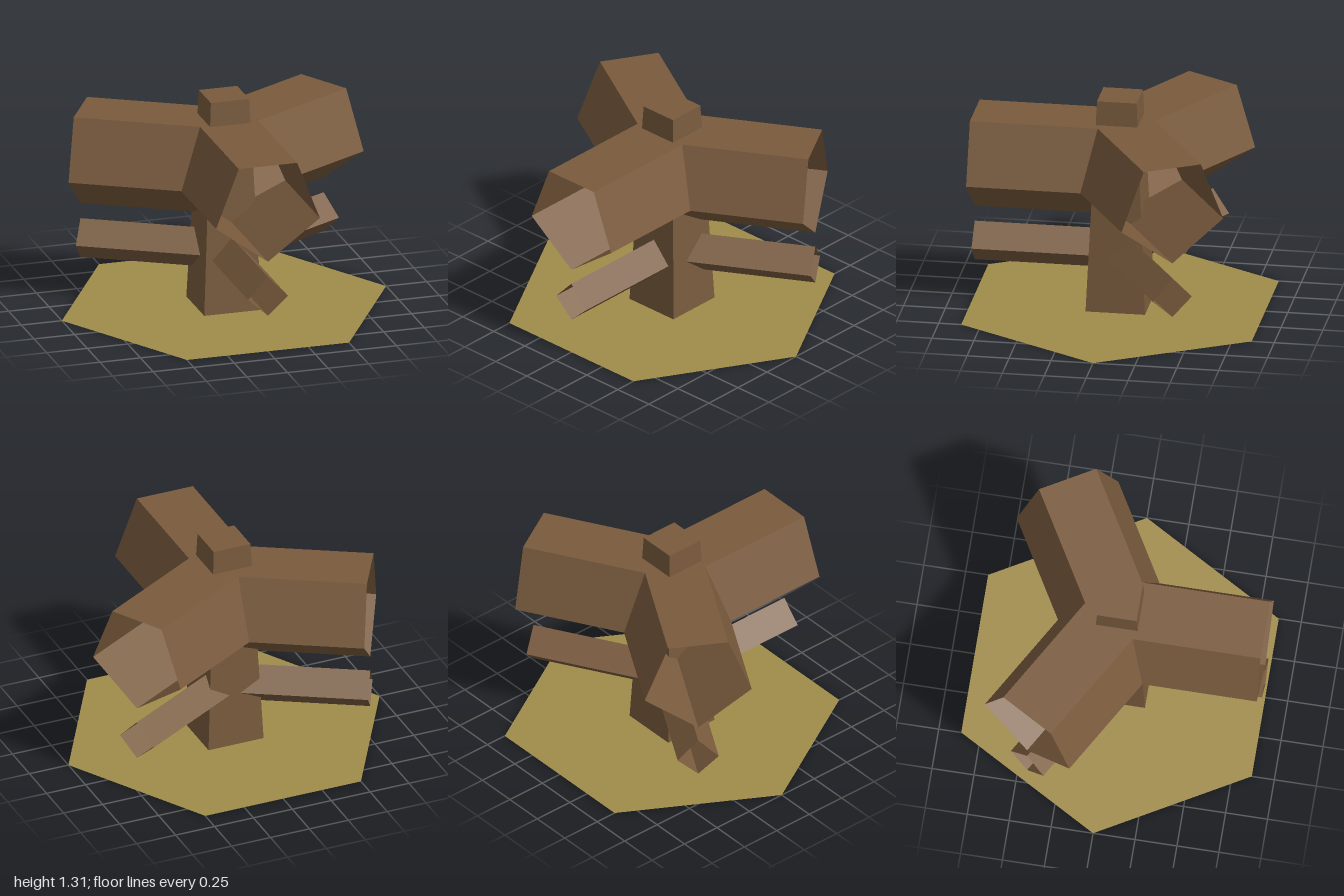
import * as THREE from 'three';

const APOTHEM = Math.sqrt(3) / 2;

// Open-ended prism along +z; its inner end is mitred to meet two more at 120 degrees.
// profile: [x, y] points, counter-clockwise seen from +z.
function mitredArm(profile) {
  const positions = [];
  const near = ([x, y]) => [x, y, Math.abs(x) / Math.sqrt(3)];
  const far = ([x, y]) => [x, y, APOTHEM];
  profile.forEach((a, i) => {
    const b = profile[(i + 1) % profile.length];
    positions.push(...far(a), ...near(a), ...near(b));
    positions.push(...far(a), ...near(b), ...far(b));
  });
  const geometry = new THREE.BufferGeometry();
  geometry.setAttribute('position', new THREE.Float32BufferAttribute(positions, 3));
  geometry.computeVertexNormals();
  return geometry;
}

export function createModel() {
  const model = new THREE.Group();
  const wood = new THREE.MeshStandardMaterial({ color: 0x7a5b3d, side: THREE.DoubleSide });
  wood.name = 'brownWood';
  const grass = new THREE.MeshStandardMaterial({ color: 0xa08c4a, side: THREE.DoubleSide });
  grass.name = 'dryGrass';

  // Flat hexagonal ground tile
  const tile = new THREE.Mesh(new THREE.CircleGeometry(1, 6).rotateX(-Math.PI / 2), grass);
  tile.name = 'groundTile';
  model.add(tile);

  // Square tapering post, its foot just above the tile
  const height = 1.306;
  const postGeometry = new THREE.CylinderGeometry(0.118 * Math.SQRT2, 0.177 * Math.SQRT2, height, 4)
    .rotateY(Math.PI / 4)
    .translate(0, height / 2 + 0.002, 0)
    .toNonIndexed();
  postGeometry.computeVertexNormals();
  const post = new THREE.Mesh(postGeometry, wood);
  post.name = 'post';
  model.add(post);

  // Three-way hollow beams: a wide upper one and a slim lower one
  const beams = {
    upperBeam: [[0, 0.56], [0.32, 0.8], [0.18, 1.16], [0, 1.16], [-0.18, 1.16], [-0.32, 0.8]],
    lowerBeam: [[0, 0.222], [0.123, 0.335], [0, 0.465], [-0.123, 0.335]],
  };
  for (const [name, profile] of Object.entries(beams)) {
    const beam = new THREE.Group();
    beam.name = name;
    const geometry = mitredArm(profile);
    for (let i = 0; i < 3; i++) {
      const arm = new THREE.Mesh(geometry, wood);
      arm.name = name + 'Arm';
      arm.rotation.y = (i * Math.PI * 2) / 3;
      beam.add(arm);
    }
    model.add(beam);
  }

  return model;
}
